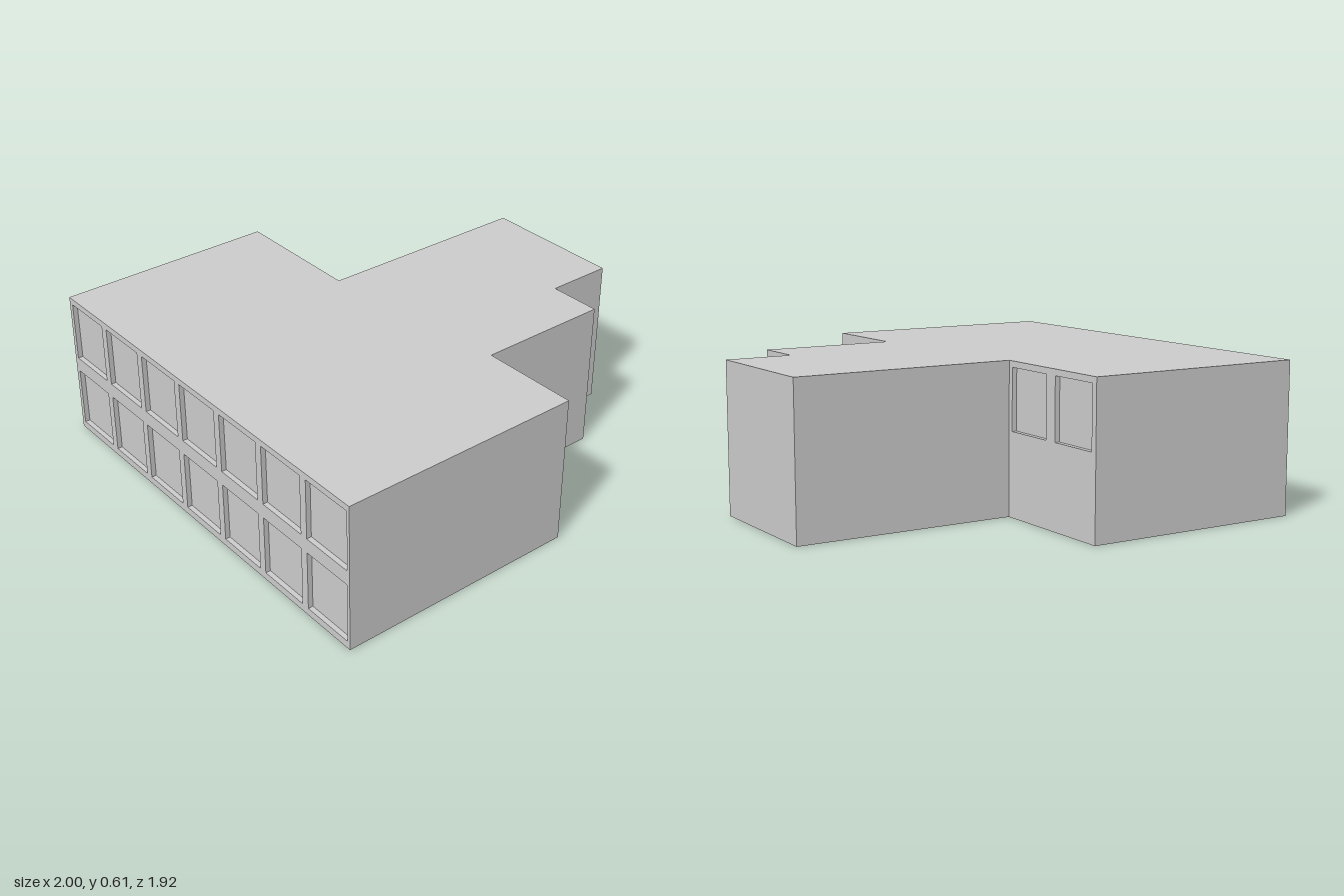
import * as THREE from 'three';

const HEIGHT = 0.605;
const RECESS = 0.02;

// Floor plan corners as [x, z], running so that every wall faces outwards
const PLAN = [
  [-1, 0.765], [-0.03, 0.957], [0.045, 0.565], [0.58, 0.67], [0.62, 0.46],
  [0.885, 0.512], [1, -0.065], [0.12, -0.24], [0.23, -0.787], [-0.66, -0.963],
];

const material = new THREE.MeshStandardMaterial({ color: 0xcccccc, side: THREE.DoubleSide, flatShading: true });

function addMesh(parent, geometry, name) {
  const mesh = new THREE.Mesh(geometry, material);
  mesh.name = name;
  parent.add(mesh);
  return mesh;
}

// Regular grid of window openings along a wall
function windowGrid(columns, rows, start, pitch, width) {
  const openings = [];
  for (const y of rows) {
    for (let i = 0; i < columns; i++) {
      openings.push({ name: 'window', x: start + i * pitch, y, w: width, h: 0.245 });
    }
  }
  return openings;
}

// Thin wall from p to q with recessed openings
function buildWall(p, q, openings) {
  const dx = q[0] - p[0], dz = q[1] - p[1];
  const length = Math.hypot(dx, dz);
  const wall = new THREE.Group();
  wall.name = 'wall';
  wall.position.set(p[0], 0, p[1]);
  wall.rotation.y = Math.atan2(-dz, dx);

  const shape = new THREE.Shape().moveTo(0, 0);
  for (const o of openings) {
    if (o.y === 0) {
      // Door: a notch in the lower edge
      shape.lineTo(o.x, 0).lineTo(o.x, o.h).lineTo(o.x + o.w, o.h).lineTo(o.x + o.w, 0);
    } else {
      shape.holes.push(new THREE.Path().moveTo(o.x, o.y).lineTo(o.x, o.y + o.h)
        .lineTo(o.x + o.w, o.y + o.h).lineTo(o.x + o.w, o.y).closePath());
    }
  }
  shape.lineTo(length, 0).lineTo(length, HEIGHT).lineTo(0, HEIGHT).closePath();
  addMesh(wall, new THREE.ShapeGeometry(shape), 'wallPanel');

  // Pane and reveals: a shallow box without its front face
  for (const o of openings) {
    const tray = new THREE.BoxGeometry(o.w, o.h, RECESS);
    tray.setIndex(Array.from(tray.index.array).filter((_, i) => i < 24 || i >= 30));
    tray.clearGroups();
    addMesh(wall, tray, o.name).position.set(o.x + o.w / 2, o.y + o.h / 2, -RECESS / 2);
  }
  return wall;
}

export function createModel() {
  const model = new THREE.Group();
  model.name = 'building';

  // Openings by the index of the wall's first corner
  const openings = {
    3: [{ name: 'door', x: 0.066, y: 0, w: 0.072, h: 0.143 }],
    7: windowGrid(2, [0.335], 0.021, 0.284, 0.227),
    9: windowGrid(7, [0.03, 0.335], 0.02, 0.2515, 0.219),
  };
  PLAN.forEach((p, i) => {
    model.add(buildWall(p, PLAN[(i + 1) % PLAN.length], openings[i] || []));
  });

  // Flat roof; the underside stays open
  const roof = new THREE.ShapeGeometry(new THREE.Shape(PLAN.map(([x, z]) => new THREE.Vector2(x, -z))));
  roof.rotateX(-Math.PI / 2);
  addMesh(model, roof, 'roof').position.y = HEIGHT;

  return model;
}
